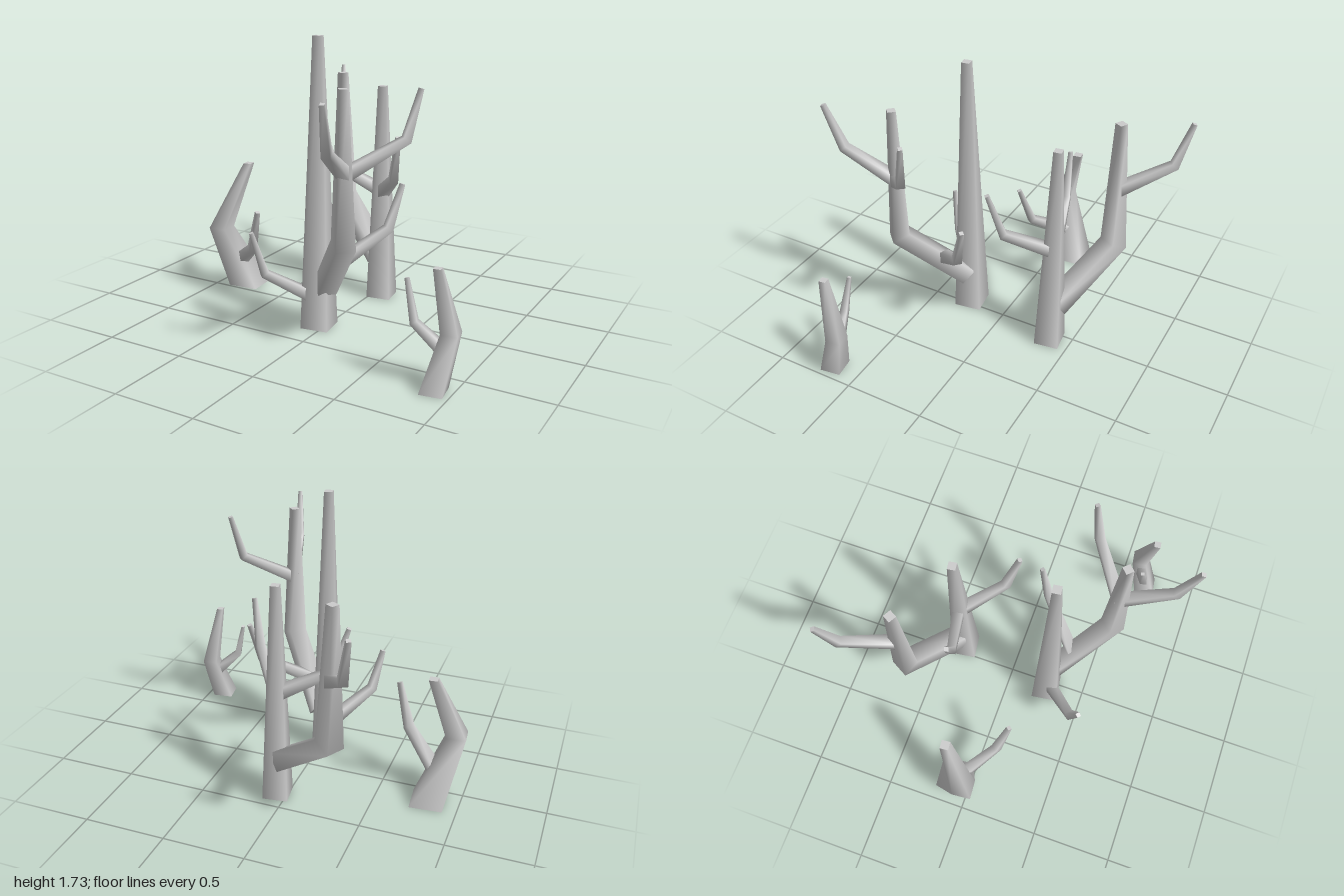
import * as THREE from 'three';

const UP = new THREE.Vector3(0, 1, 0);
const material = new THREE.MeshStandardMaterial({ color: 0xcccccc });

// Tapered four-sided limb through [x, y, z, radius] points, capped at both ends.
// Rooted limbs get level end cuts so they sit flat on the ground.
function limb(name, points, { rooted = false, turn = 45 } = {}) {
  const pts = points.map(([x, y, z]) => new THREE.Vector3(x, y, z));
  const last = pts.length - 1;
  const dirs = pts.slice(1).map((p, i) => p.clone().sub(pts[i]).normalize());
  const normals = pts.map((p, i) => {
    if (rooted && (i === 0 || i === last)) return UP.clone();
    return dirs[Math.max(i - 1, 0)].clone().add(dirs[Math.min(i, last - 1)]).normalize();
  });

  // Starting frame, carried along the path without twisting
  const n0 = normals[0];
  const u = rooted ? new THREE.Vector3(1, 0, 0) : new THREE.Vector3().crossVectors(UP, n0).normalize();
  u.applyAxisAngle(n0, THREE.MathUtils.degToRad(turn));
  const rings = pts.map((p, i) => {
    if (i > 0) u.applyQuaternion(new THREE.Quaternion().setFromUnitVectors(normals[i - 1], normals[i]));
    const v = new THREE.Vector3().crossVectors(normals[i], u);
    const r = points[i][3];
    return [[1, 0], [0, 1], [-1, 0], [0, -1]].map(([a, b]) =>
      p.clone().addScaledVector(u, a * r).addScaledVector(v, b * r));
  });

  // Shared corners keep the sides smooth; the caps have corners of their own
  const all = [...rings.flat(), ...rings[0], ...rings[last]];
  const index = [];
  for (let i = 0; i < last; i++) {
    for (let j = 0; j < 4; j++) {
      const a = i * 4 + j, b = i * 4 + (j + 1) % 4;
      index.push(a, b, b + 4, a, b + 4, a + 4);
    }
  }
  const s = rings.length * 4, e = s + 4;
  index.push(s, s + 2, s + 1, s, s + 3, s + 2, e, e + 1, e + 2, e, e + 2, e + 3);

  const geometry = new THREE.BufferGeometry().setFromPoints(all);
  geometry.setIndex(index);
  geometry.computeVertexNormals();
  const mesh = new THREE.Mesh(geometry, material);
  mesh.name = name;
  return mesh;
}

// Thin side branch: root, elbow and tip, tapering
const twig = (name, root, elbow, tip, size = 1) =>
  limb(name, [[...root, 0.05 * size], [...elbow, 0.036 * size], [...tip, 0.018 * size]]);

function tree(name, ...parts) {
  const group = new THREE.Group();
  group.name = name;
  group.add(...parts);
  return group;
}

export function createModel() {
  const model = new THREE.Group();
  model.name = 'deadTrees';

  model.add(
    // Tall front tree with a forked main bough
    tree('frontTree',
      limb('trunk', [[-0.04, 0, 0.255, 0.12], [-0.035, 1.73, 0.25, 0.034]], { rooted: true, turn: 53 }),
      limb('bough', [[0.01, 0.26, 0.26, 0.08], [0.3, 0.65, 0.555, 0.08], [0.297, 1.5, 0.553, 0.034]]),
      twig('outerBranch', [0.3, 1.04, 0.54], [0.375, 1.22, 0.85], [0.408, 1.49, 0.945]),
      twig('sideBranch', [0.29, 1.03, 0.56], [0.56, 1.22, 0.335], [0.615, 1.49, 0.28]),
      twig('lowerBranch', [0.12, 0.43, 0.36], [0.35, 0.635, 0.12], [0.402, 0.89, 0.05]),
      twig('rightBranch', [-0.07, 0.19, 0.28], [-0.27, 0.36, 0.48], [-0.32, 0.615, 0.535])),

    // Back tree
    tree('backTree',
      limb('trunk', [[0.06, 0, -0.365, 0.108], [0.05, 1.37, -0.375, 0.034]], { rooted: true, turn: 53 }),
      limb('bough', [[0.03, 0.26, -0.38, 0.085], [-0.345, 0.57, -0.59, 0.085], [-0.35, 1.4, -0.58, 0.036]]),
      twig('outerBranch', [-0.345, 0.96, -0.59], [-0.505, 1.125, -0.87], [-0.555, 1.395, -0.945]),
      twig('rightBranch', [0.03, 0.71, -0.37], [-0.26, 0.86, -0.295], [-0.345, 1.13, -0.275]),
      twig('leftBranch', [0.055, 0.69, -0.37], [0.25, 0.85, -0.135], [0.312, 1.13, -0.067])),

    // Bent stump on the right
    tree('rightStump',
      limb('trunk', [[-0.812, 0, -0.12, 0.14], [-0.935, 0.41, 0.01, 0.082], [-0.803, 0.83, -0.13, 0.036]],
        { rooted: true, turn: 50 }),
      twig('branch', [-0.83, 0.19, -0.06], [-0.62, 0.345, 0.11], [-0.535, 0.61, 0.165])),

    // Small stump on the left
    tree('leftStump',
      limb('trunk', [[0.9, 0, 0.675, 0.09], [0.952, 0.3, 0.588, 0.066], [0.905, 0.67, 0.668, 0.029]],
        { rooted: true, turn: 53 }),
      twig('branch', [0.91, 0.22, 0.615], [0.775, 0.35, 0.655], [0.72, 0.575, 0.635], 0.85)),
  );
  return model;
}
